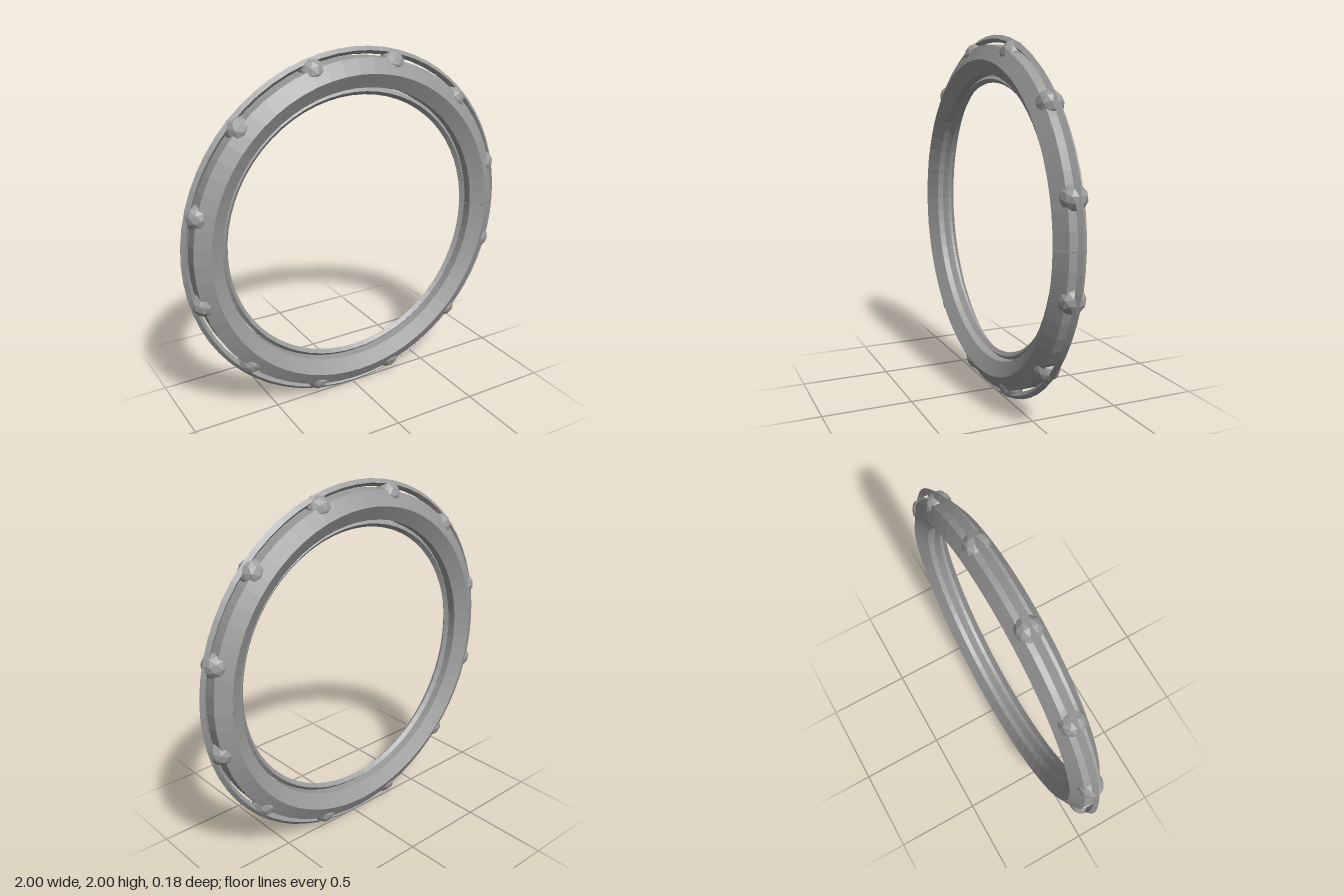
import * as THREE from 'three';

const SEGMENTS = 64;

// Ring around the z axis whose cross-section is a regular polygon
// with one corner pointing to the front; a hairline seam sits at +x.
function ringGeometry(radius, tube, sides) {
  const profile = [];
  for (let i = 0; i <= sides; i++) {
    const a = (i / sides) * Math.PI * 2 - Math.PI / 2;
    profile.push(new THREE.Vector2(radius + tube * Math.cos(a), tube * Math.sin(a)));
  }
  const g = new THREE.LatheGeometry(profile, SEGMENTS, Math.PI / 2 + 0.0016, 6.28);
  g.rotateX(Math.PI / 2);
  return g.toNonIndexed();
}

export function createModel() {
  const group = new THREE.Group();
  const metal = new THREE.MeshStandardMaterial({ color: 0x9c9c9c });
  metal.name = 'grey metal';
  metal.flatShading = true;
  metal.side = THREE.DoubleSide;

  const ring = new THREE.Group();
  ring.name = 'ring';
  ring.position.y = 1;
  group.add(ring);

  const add = (name, geometry) => {
    const mesh = new THREE.Mesh(geometry, metal);
    mesh.name = name;
    ring.add(mesh);
    return mesh;
  };

  // Hexagonal main band between two thin diamond-section rims
  add('mainBand', ringGeometry(0.87, 0.09, 6));
  add('outerRim', ringGeometry(0.98, 0.02, 4));
  add('innerRim', ringGeometry(0.767, 0.02, 4));

  // Twelve faceted studs set into the outer edge
  const studGeometry = new THREE.IcosahedronGeometry(0.07, 1);
  for (let i = 0; i < 12; i++) {
    const a = ((i + 0.5) / 12) * Math.PI * 2;
    const stud = add('stud' + (i + 1), studGeometry);
    stud.position.set(0.925 * Math.cos(a), 0.925 * Math.sin(a), 0);
    stud.rotation.z = a;
  }
  return group;
}
